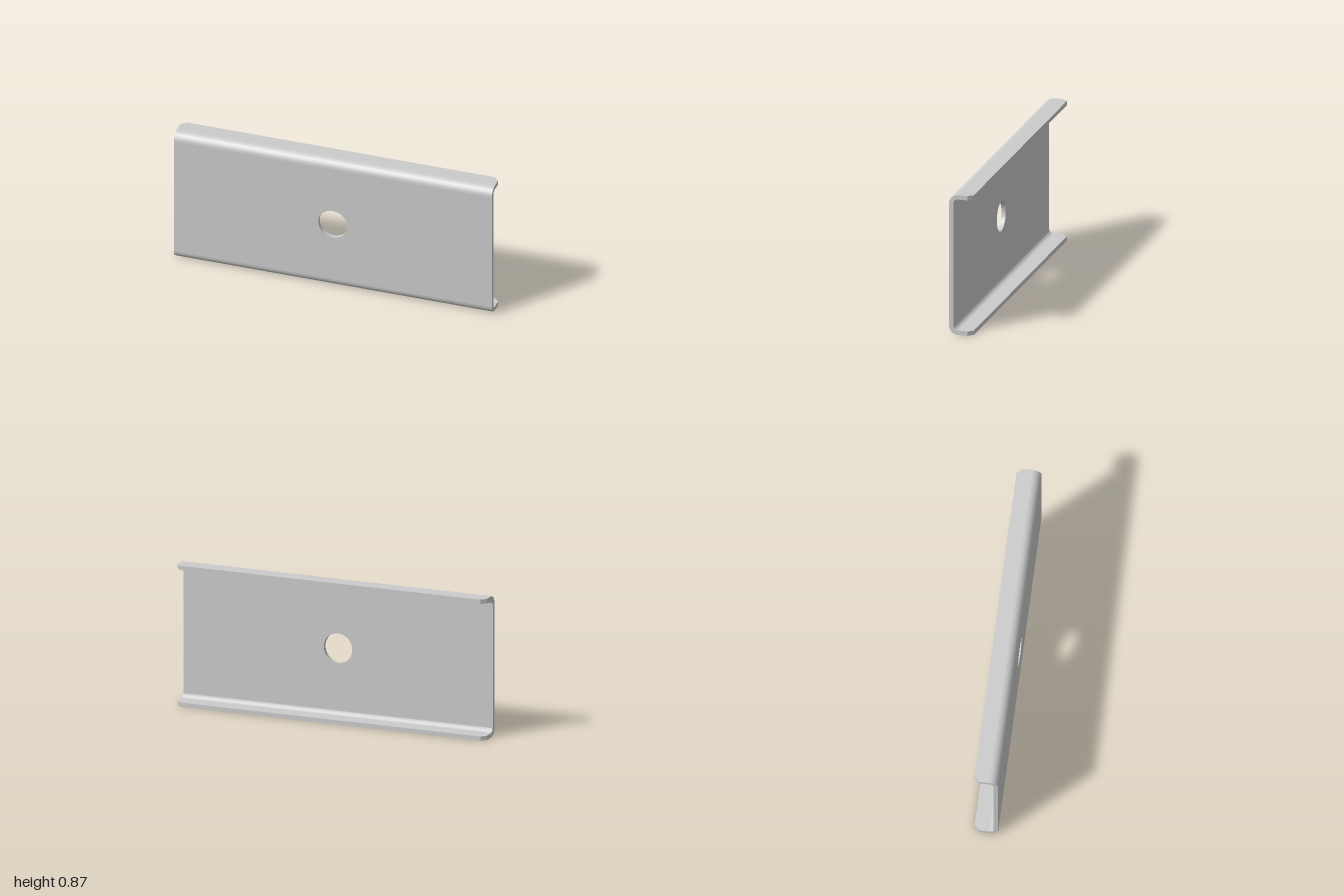
import * as THREE from 'three';
import { toCreasedNormals } from 'three/addons/utils/BufferGeometryUtils.js';

const L = 1;        // half length
const H = 0.872;    // height
const T = 0.027;    // sheet thickness
const FRONT = 0.073, BACK = -0.073;
const R = 0.055;    // outer bend radius
const C = FRONT - R; // z of the bend centre
const CUT = 0.03;   // flange corner chamfer
const HOLE = 0.092;

// Removes the hidden faces where neighbouring parts join.
function openJoints(geometry) {
  const src = geometry.index ? geometry.toNonIndexed() : geometry;
  const p = src.attributes.position;
  const near = (a, b) => Math.abs(a - b) < 1e-5;
  const joints = [
    (i) => near(p.getY(i), R),
    (i) => near(p.getY(i), H - R),
    (i) => near(p.getZ(i), C),
  ];
  const kept = [];
  for (let i = 0; i < p.count; i += 3) {
    const corners = [i, i + 1, i + 2];
    if (joints.some((on) => corners.every(on))) continue;
    for (const k of corners) kept.push(p.getX(k), p.getY(k), p.getZ(k));
  }
  const out = new THREE.BufferGeometry();
  out.setAttribute('position', new THREE.Float32BufferAttribute(kept, 3));
  return toCreasedNormals(out, 0.5);
}

const extrude = (shape, depth) =>
  new THREE.ExtrudeGeometry(shape, { depth, bevelEnabled: false, curveSegments: 20 });

const polygon = (points) => new THREE.Shape(points.map(([x, y]) => new THREE.Vector2(x, y)));

// Flat front plate with a round hole in the middle
function webGeometry() {
  const shape = polygon([[-L, R], [L, R], [L, H - R], [-L, H - R]]);
  const hole = new THREE.Path();
  hole.absarc(0, H / 2, HOLE, 0, Math.PI * 2, true);
  shape.holes.push(hole);
  return openJoints(extrude(shape, T).translate(0, 0, FRONT - T));
}

// Quarter-round bend running along x
function bendGeometry() {
  const shape = new THREE.Shape();
  shape.absarc(C, R, R, -Math.PI / 2, 0, false);
  shape.absarc(C, R, R - T, 0, -Math.PI / 2, true);
  shape.closePath();
  return openJoints(extrude(shape, 2 * L).translate(0, 0, -L).rotateY(-Math.PI / 2));
}

// Flat lip with chamfered rear corners
function flangeGeometry() {
  const shape = polygon([
    [-L, -C], [L, -C], [L, -BACK - CUT], [L - CUT, -BACK], [-L + CUT, -BACK], [-L, -BACK - CUT],
  ]);
  return openJoints(extrude(shape, T).rotateX(-Math.PI / 2));
}

export function createModel() {
  const model = new THREE.Group();
  model.name = 'channelBracket';
  const material = new THREE.MeshStandardMaterial({ color: 0xcccccc });

  const add = (parent, name, geometry) => {
    const mesh = new THREE.Mesh(geometry, material);
    mesh.name = name;
    parent.add(mesh);
  };

  add(model, 'frontPlate', webGeometry());

  // The same folded edge at the bottom and, turned over, at the top
  const bend = bendGeometry();
  const flange = flangeGeometry();
  for (const side of ['bottom', 'top']) {
    const edge = new THREE.Group();
    edge.name = side + 'Edge';
    add(edge, side + 'Bend', bend);
    add(edge, side + 'Flange', flange);
    if (side === 'top') {
      edge.rotation.z = Math.PI;
      edge.position.y = H;
    }
    model.add(edge);
  }
  return model;
}
